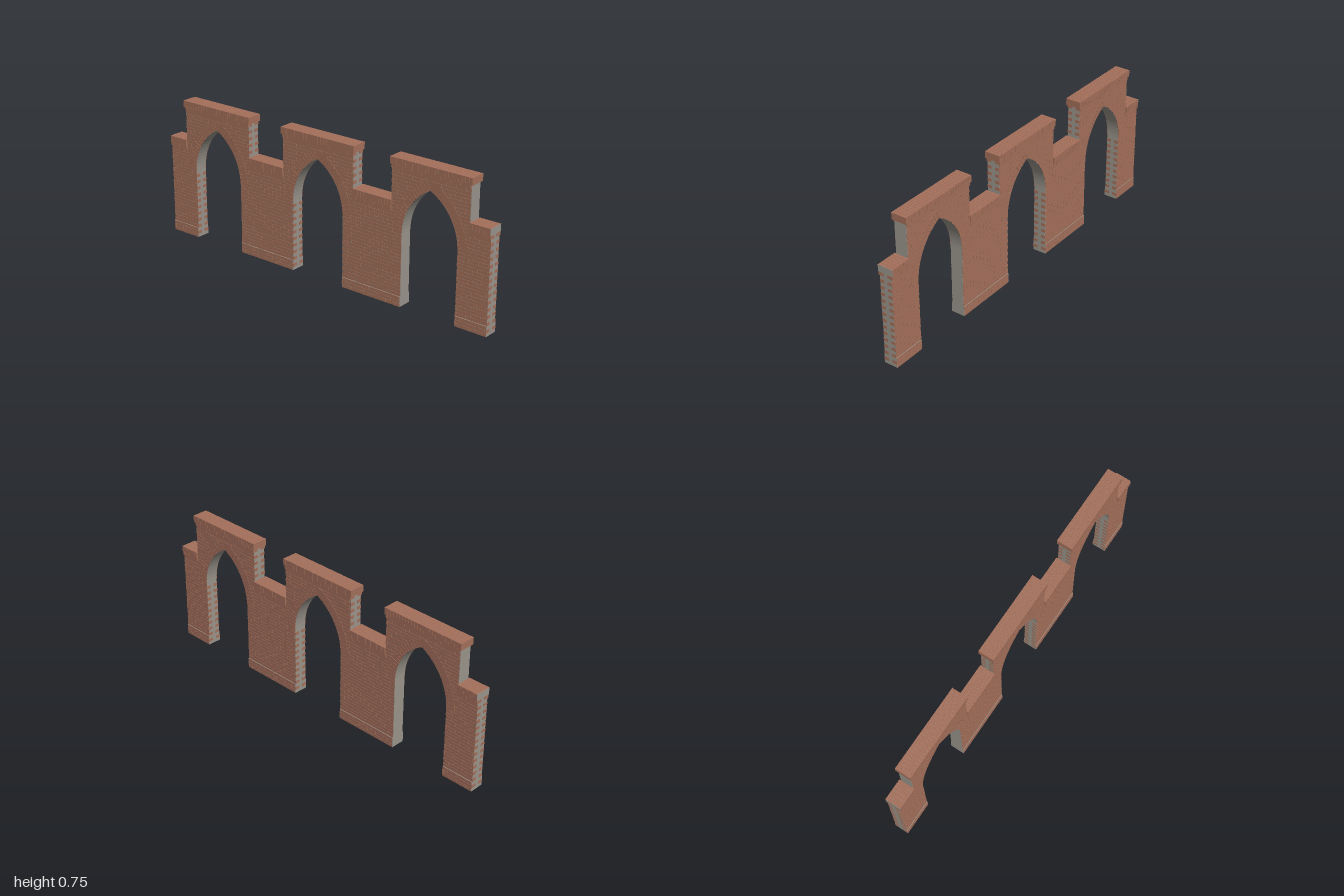
import * as THREE from 'three';
import { mergeGeometries } from 'three/addons/utils/BufferGeometryUtils.js';

const C = 0.0178;            // course height
const L = 0.0536;            // brick length
const GAP = 0.0013;          // joint width
const ARCHES = [-0.667, 0, 0.667];
const HALF = 0.157, SPRING = 0.375, RISE = 0.255;   // arch opening
const R = (HALF * HALF + RISE * RISE) / (2 * HALF);
const PHI = Math.atan2(RISE, R - HALF);
const END = 0.9992, MERLON = 0.22;
const LOW = 28, HIGH = 40;   // courses to the low and high wall tops
const COPING = 0.0357;

function box(x0, x1, y0, y1, z0, z1) {
  return new THREE.BoxGeometry(x1 - x0, y1 - y0, z1 - z0)
    .translate((x0 + x1) / 2, (y0 + y1) / 2, (z0 + z1) / 2);
}

function slab(shape, z0, z1) {
  return new THREE.ExtrudeGeometry(shape, { depth: z1 - z0, bevelEnabled: false }).translate(0, 0, z0);
}

// Half width of the opening at height y, grown outward by off above the springing
function halfAt(y, off) {
  if (y < SPRING) return HALF;
  const r = R + off, d = y - SPRING;
  return d >= r ? 0 : Math.max(0, Math.sqrt(r * r - d * d) - (R - HALF));
}

// Solid x ranges of one course
function ranges(i) {
  const w = halfAt((i + 0.5) * C, 0.02);
  if (i >= LOW) {
    return ARCHES.flatMap(c => w > 0
      ? [[c - MERLON, c - w], [c + w, c + MERLON]] : [[c - MERLON, c + MERLON]]);
  }
  const edges = [-END, ...ARCHES.flatMap(c => [c - w, c + w]), END];
  return [0, 2, 4, 6].map(k => [edges[k], edges[k + 1]]);
}

const lowRanges = [
  [-END, ARCHES[0] - MERLON], [ARCHES[0] + MERLON, ARCHES[1] - MERLON],
  [ARCHES[1] + MERLON, ARCHES[2] - MERLON], [ARCHES[2] + MERLON, END]];
const highRanges = ARCHES.map(c => [c - MERLON, c + MERLON]);

// Running-bond bricks on both faces; odd courses show their ends
function layCourse(out, i, spans, zf) {
  const e = i % 2 ? 0.0008 : -0.0008;
  const shift = i % 2 ? L / 2 : 0;
  for (const [a, b] of spans) {
    const x0 = a - e, x1 = b + e;
    for (let k = Math.floor((x0 - shift) / L); k * L + shift < x1; k++) {
      const s = k * L + shift;
      const p = Math.max(s + GAP / 2, x0), q = Math.min(s + L - GAP / 2, x1);
      if (q - p < 0.003) continue;
      const y0 = i * C + GAP / 2, y1 = (i + 1) * C - GAP / 2;
      out.push(box(p, q, y0, y1, 0.01, zf), box(p, q, y0, y1, -zf, -0.01));
    }
  }
}

// Outline of the whole wall with its pointed openings
function coreShape() {
  const s = new THREE.Shape();
  const N = 16;
  s.moveTo(-END, 0);
  for (const c of ARCHES) {
    s.lineTo(c - HALF, 0);
    for (let k = 0; k <= N; k++) {
      const t = PHI * k / N;
      s.lineTo(c + R - HALF - R * Math.cos(t), SPRING + R * Math.sin(t));
    }
    for (let k = N - 1; k >= 0; k--) {
      const t = PHI * k / N;
      s.lineTo(c - R + HALF + R * Math.cos(t), SPRING + R * Math.sin(t));
    }
    s.lineTo(c + HALF, 0);
  }
  s.lineTo(END, 0);
  s.lineTo(END, LOW * C);
  for (const c of [...ARCHES].reverse()) {
    s.lineTo(c + MERLON, LOW * C);
    s.lineTo(c + MERLON, HIGH * C);
    s.lineTo(c - MERLON, HIGH * C);
    s.lineTo(c - MERLON, LOW * C);
  }
  s.lineTo(-END, LOW * C);
  s.closePath();
  return s;
}

// Wedge bricks around one opening, with a keystone at the point
function archRing(c) {
  const out = [], n = 17, r0 = R + 0.0005, r1 = R + 0.048, zf = 0.0358;
  const add = pts => {
    const shape = new THREE.Shape(pts);
    out.push(slab(shape, 0.01, zf), slab(shape, -zf, -0.01));
  };
  for (const m of [-1, 1]) {
    const at = (r, t) => new THREE.Vector2(
      c + m * (r * Math.cos(t) - (R - HALF)), SPRING + r * Math.sin(t));
    for (let k = 0; k < n; k++) {
      const a = PHI * k / n + 0.002, b = PHI * (k + 1) / n - 0.002;
      add([at(r0, a), at(r1, a), at(r1, b), at(r0, b)]);
    }
  }
  const kx = r1 * Math.cos(PHI) - (R - HALF), ky = SPRING + r1 * Math.sin(PHI);
  add([new THREE.Vector2(c, SPRING + RISE + 0.0005), new THREE.Vector2(c + kx - 0.001, ky),
    new THREE.Vector2(c, ky + 0.006), new THREE.Vector2(c - kx + 0.001, ky)]);
  return out;
}

// Row of upright bricks across the full thickness
function coping(out, bed, x0, x1, y) {
  const n = Math.round((x1 - x0) / 0.018), w = (x1 - x0) / n;
  for (let k = 0; k < n; k++) {
    const a = k ? x0 + k * w + GAP / 2 : x0;
    const b = k < n - 1 ? x0 + (k + 1) * w - GAP / 2 : x1;
    out.push(box(a, b, y, y + COPING, -0.042, 0.042));
  }
  bed.push(box(x0 + 0.002, x1 - 0.002, y + 0.0015, y + COPING - 0.0015, -0.0405, 0.0405));
}

export function createModel() {
  const brick = new THREE.MeshStandardMaterial({ color: 0xa5705b });
  brick.name = 'brick';
  const mortar = new THREE.MeshStandardMaterial({ color: 0x9a958c });
  mortar.name = 'mortar';
  const group = new THREE.Group();
  group.name = 'archedWall';
  const add = (name, geos, mat) => {
    const mesh = new THREE.Mesh(Array.isArray(geos) ? mergeGeometries(geos) : geos, mat);
    mesh.name = name;
    group.add(mesh);
  };

  // Mortar core, thickened at the plinth and under the copings
  add('mortarCore', slab(coreShape(), -0.0332, 0.0332), mortar);
  const thick = ranges(0).map(([a, b]) => box(a, b, 0, 3 * C, -0.037, 0.037));

  // Brick courses
  const plinth = [], wall = [], corbels = [];
  for (let i = 0; i < HIGH; i++) {
    layCourse(i < 3 ? plinth : wall, i, ranges(i), i < 3 ? 0.038 : 0.0345);
  }
  layCourse(corbels, LOW - 1, lowRanges, 0.0395);
  layCourse(corbels, HIGH - 1, highRanges, 0.0395);
  add('plinthBricks', plinth, brick);
  add('wallBricks', wall, brick);
  add('corbelBricks', corbels, brick);

  // Arch rings
  ARCHES.forEach(c => add('archRing', archRing(c), brick));

  // Copings on the low walls and the merlons
  const low = [], high = [];
  lowRanges.forEach(([a, b]) => coping(low, thick, a, b, LOW * C));
  highRanges.forEach(([a, b]) => coping(high, thick, a - 0.0075, b + 0.0075, HIGH * C));
  add('lowCoping', low, brick);
  add('merlonCoping', high, brick);
  add('mortarBeds', thick, mortar);

  // Mortar faces closing the outer coping ends
  add('copingEnds', [-1, 1].map(m => box(m * 0.9996 - 0.0004, m * 0.9996 + 0.0004,
    LOW * C, LOW * C + COPING, -0.042, 0.042)), mortar);
  return group;
}
